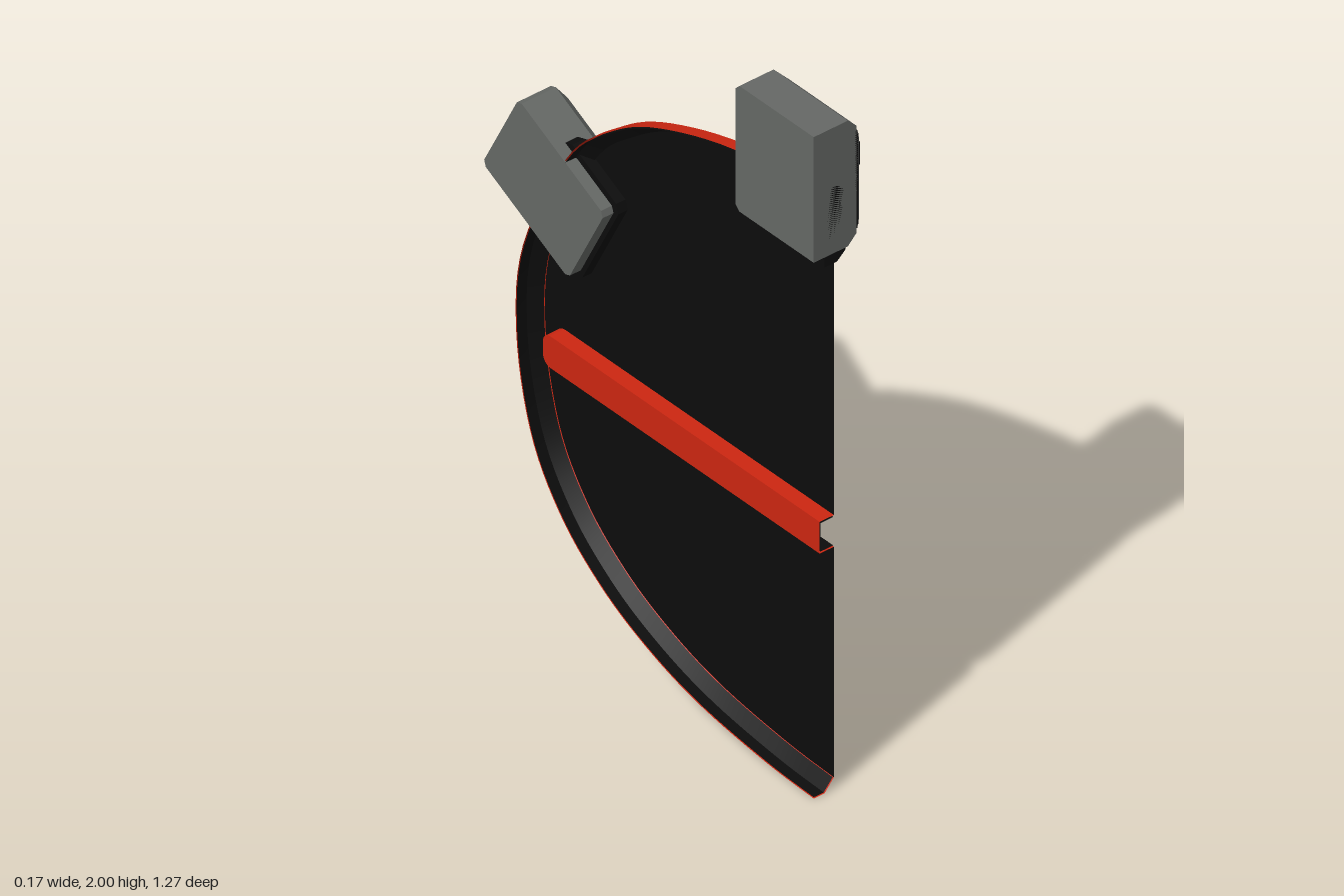
import * as THREE from 'three';
import { ConvexGeometry } from 'three/addons/geometries/ConvexGeometry.js';

// Everything is drawn in (u, v, w): u = -z, v = y, w = x; the root is turned to suit.
const material = (name, color, side = THREE.DoubleSide) => {
  const m = new THREE.MeshStandardMaterial({ color, side });
  m.name = name;
  return m;
};

export function createModel() {
  const black = material('black', 0x0c0c0c);
  const red = material('red', 0xcc2611);
  const grey = material('grey', 0x656865);

  const model = new THREE.Group();
  const root = new THREE.Group();
  root.name = 'halfPanel';
  root.rotation.y = Math.PI / 2;
  model.add(root);

  const add = (parent, name, geometry, mat) => {
    const mesh = new THREE.Mesh(geometry, mat);
    mesh.name = name;
    parent.add(mesh);
    return mesh;
  };

  // Ribbon between two paths of equal length, each at its own depth
  const strip = (a, wa, b, wb) => {
    const pos = [], index = [];
    a.forEach((p, i) => {
      pos.push(p.x, p.y, wa, b[i].x, b[i].y, wb);
      const k = i * 2;
      if (i) index.push(k - 2, k, k - 1, k, k + 1, k - 1);
    });
    const g = new THREE.BufferGeometry();
    g.setAttribute('position', new THREE.Float32BufferAttribute(pos, 3));
    g.setIndex(index);
    g.computeVertexNormals();
    return g;
  };

  // Flat sheet at depth w
  const sheet = (points, w) => new THREE.ShapeGeometry(new THREE.Shape(points)).translate(0, 0, w);

  // Curved outer edge, bottom to top, and copies inset along its normal
  const curve = new THREE.SplineCurve([
    [-0.635, 0], [-0.45, 0.01], [-0.2, 0.045], [0, 0.105], [0.18, 0.195], [0.34, 0.33],
    [0.455, 0.52], [0.51, 0.8], [0.48, 1.08], [0.31, 1.43], [0.15, 1.59], [-0.03, 1.7],
    [-0.32, 1.795], [-0.635, 1.83],
  ].map(([u, v]) => new THREE.Vector2(u, v)));
  const edge = (inset) => Array.from({ length: 81 }, (_, i) => {
    const p = curve.getPoint(i / 80), t = curve.getTangent(i / 80);
    const q = new THREE.Vector2(p.x - t.y * inset, p.y + t.x * inset);
    if (i === 0 || i === 80) q.x = -0.635;
    return q;
  });

  // Red rim outside, black lining inside
  const rim = (name, mat, profile) => profile.slice(1).forEach(([d, w], i) => {
    const [d0, w0] = profile[i];
    add(root, name, strip(edge(d0), w0, edge(d), w), mat);
  });
  rim('rim', red, [[0.035, -0.02], [0, -0.05], [0, -0.085]]);
  rim('rimLining', black, [[0.037, -0.024], [0.004, -0.053], [0.004, -0.085]]);

  // Groove path, from the upper cut edge round the closed end and back
  const groove = (d) => {
    const top = 0.828 - d, bottom = 0.732 + d, end = 0.43 - d, r = 0.03;
    const path = [new THREE.Vector2(-0.635, top)];
    for (const [cv, start] of [[top - r, Math.PI / 2], [bottom + r, 0]]) {
      for (let i = 0; i <= 4; i++) {
        const a = start - i * Math.PI / 8;
        path.push(new THREE.Vector2(end - r + r * Math.cos(a), cv + r * Math.sin(a)));
      }
    }
    path.push(new THREE.Vector2(-0.635, bottom));
    return path;
  };

  // Main panel with the groove cut out of it
  add(root, 'panel', sheet([...edge(0.035), ...groove(0)], -0.02), black);
  add(root, 'ribWall', strip(groove(0), -0.02, groove(0), -0.066), red);
  add(root, 'ribBack', sheet(groove(0), -0.066), red);
  add(root, 'grooveWall', strip(groove(0.005), -0.022, groove(0.005), -0.063), black);
  add(root, 'grooveFloor', sheet(groove(0.005), -0.063), black);

  // Rectangle with clipped corners; clipLeft = false keeps the cut side square
  const rect = (u0, u1, v0, v1, c, clipLeft) => {
    const l = clipLeft ? c : 0;
    return [[u0 + l, v0], [u1 - c, v0], [u1, v0 + c], [u1, v1 - c],
      [u1 - c, v1], [u0 + l, v1], [u0, v1 - l], [u0, v0 + l]];
  };
  // Convex solid through several outlines [points, depth]
  const solid = (...rings) => new ConvexGeometry(
    rings.flatMap(([points, w]) => points.map(([u, v]) => new THREE.Vector3(u, v, w))));

  // Housing with bevelled front and framed plate
  const housing = (parent, [u0, u1, v0, v1], whole) => {
    const ring = (d) => rect(u0 + (whole ? d : 0), u1 - d, v0 + d, v1 - d, 0.014, whole);
    add(parent, 'housing', solid([ring(0), -0.085], [ring(0), 0.025], [ring(0.028), 0.053]), grey);
    [['outerSeam', 0.042, 0.0555, black], ['frame', 0.048, 0.0575, grey],
      ['innerSeam', 0.053, 0.0595, black], ['facePlate', 0.066, 0.0615, grey],
    ].forEach(([name, d, w, mat]) => add(parent, name, solid([ring(d), 0.05], [ring(d), w]), mat));
  };
  // Black fairing where the housing meets the panel
  const fairing = (parent, [u0, u1, v0, v1], s, left) => add(parent, 'fairing', solid(
    [rect(u0, u1, v0, v1, 0.02, left), -0.05],
    [rect(u0, u1, v0, v1, 0.02, left), -0.01],
    [rect(u0 + (left ? s : 0), u1 - s, v0 + s, v1 - s, 0.01, left), 0.018]), black);
  // Knob on a dark patch
  const knob = (u, v, patch) => {
    add(root, 'knobPatch', sheet(patch.map(([x, y]) => new THREE.Vector2(x, y)), 0.0635), black);
    const g = new THREE.CylinderGeometry(0.02, 0.04, 0.023, 10).toNonIndexed();
    g.computeVertexNormals();
    add(root, 'knob', g.rotateX(Math.PI / 2).translate(u, v, 0.0735), grey);
  };

  // Upper housing, cut at the middle
  housing(root, [-0.635, -0.335, 1.62, 2], false);
  fairing(root, [-0.635, -0.315, 1.59, 1.82], 0.025, false);
  knob(-0.57, 1.89, [[-0.635, 1.85], [-0.56, 1.8], [-0.51, 1.84], [-0.475, 1.91], [-0.635, 1.92]]);

  // Side housing, tilted to follow the edge
  const side = new THREE.Group();
  side.name = 'sideHousing';
  side.position.set(0.405, 1.28, 0);
  side.rotation.z = 0.48;
  root.add(side);
  housing(side, [-0.186, 0.186, -0.15, 0.15], true);
  fairing(side, [-0.2, 0.03, -0.17, 0.17], 0.02, true);
  knob(0.47, 1.31, [[0.39, 1.315], [0.43, 1.28], [0.375, 1.17], [0.47, 1.25],
    [0.525, 1.28], [0.51, 1.38], [0.39, 1.35]]);

  return model;
}
